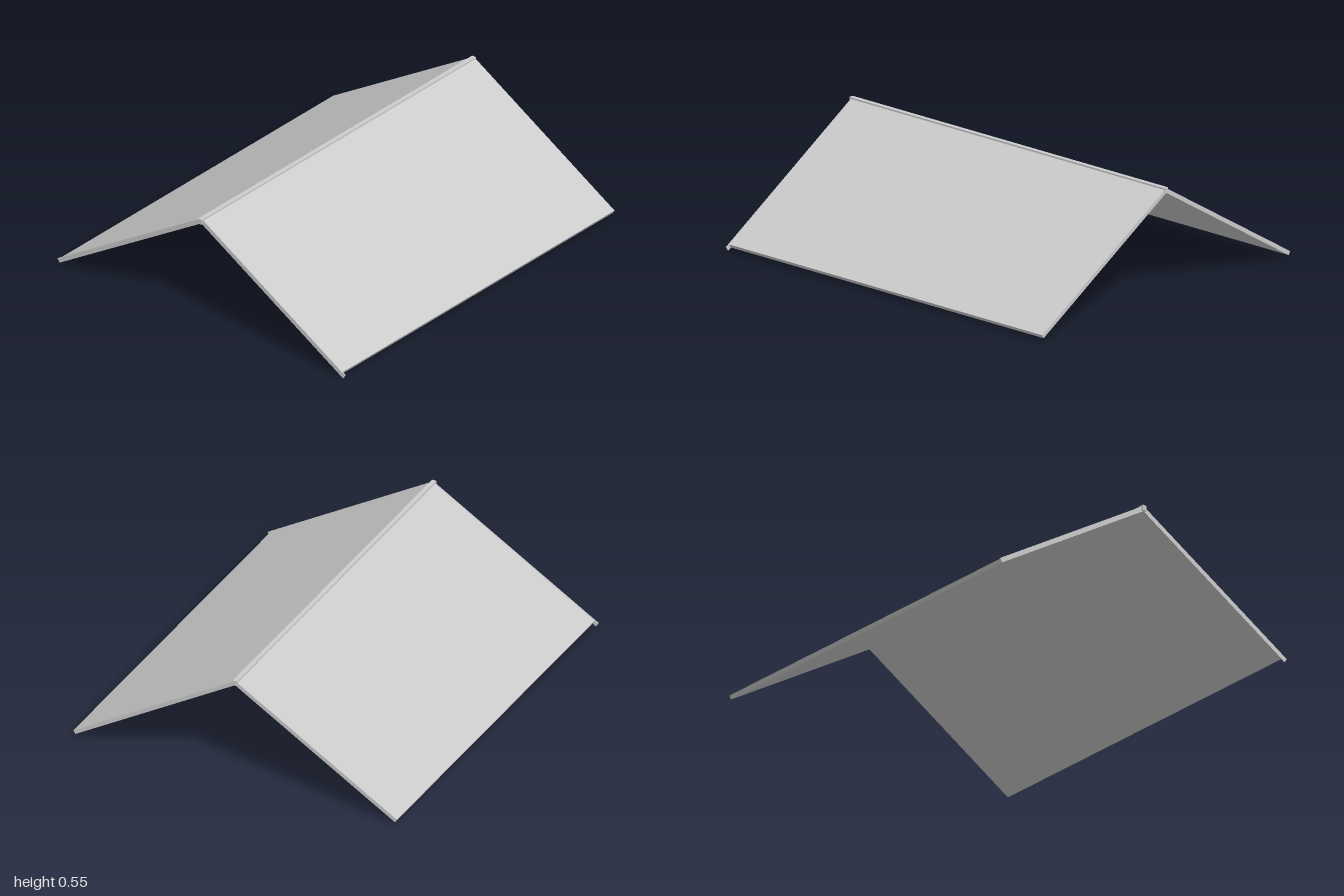
import * as THREE from 'three';

const APEX = 0.533;                // height of the ridge centre line
const PITCH = Math.atan(0.606);    // roof slope

export function createModel() {
  const model = new THREE.Group();
  model.name = 'gableRoof';
  const grey = new THREE.MeshStandardMaterial({ color: 0xcccccc, flatShading: true });

  // Box spanning x0..x1, running from the local origin along +z
  function slab(name, x0, x1, thickness, length) {
    const geometry = new THREE.BoxGeometry(x1 - x0, thickness, length);
    geometry.translate((x0 + x1) / 2, 0, length / 2);
    const mesh = new THREE.Mesh(geometry, grey);
    mesh.name = name;
    return mesh;
  }

  // Two sloping sides, each a panel with a slightly longer trim at the right end
  for (const [side, dir] of [['front', 1], ['back', -1]]) {
    const slope = new THREE.Group();
    slope.name = side + 'Slope';
    const at = (x0, x1) => (dir > 0 ? [x0, x1] : [-x1, -x0]);
    const pitched = new THREE.Group();
    pitched.rotation.x = PITCH;
    pitched.add(slab(side + 'Panel', ...at(-0.985, 0.998), 0.02, 0.988));
    pitched.add(slab(side + 'EdgeTrim', ...at(-0.99, -0.985), 0.023, 1.009));
    slope.add(pitched);
    slope.position.y = APEX;
    slope.rotation.y = dir > 0 ? 0 : Math.PI;
    model.add(slope);
  }

  // Square ridge beam along the top
  const ridge = new THREE.Mesh(new THREE.BoxGeometry(2, 0.026, 0.023), grey);
  ridge.name = 'ridgeBeam';
  ridge.position.y = APEX;
  model.add(ridge);

  return model;
}
